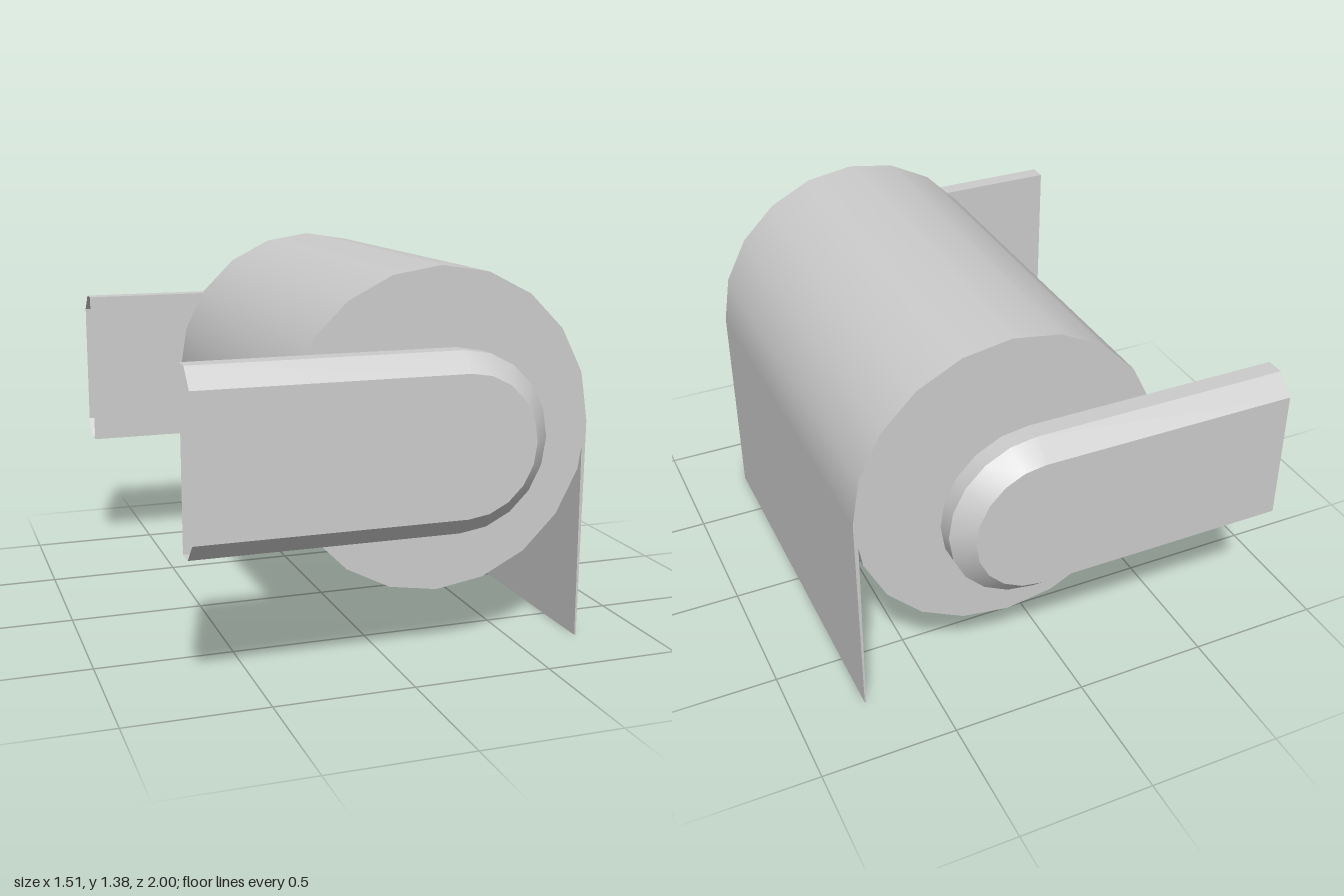
import * as THREE from 'three';
import { mergeGeometries } from 'three/addons/utils/BufferGeometryUtils.js';

const CX = 0.18, CY = 0.813, ROLL_R = 0.572, HALF = 0.743;

const grey = new THREE.MeshStandardMaterial({ color: 0xcccccc });
const greyDouble = new THREE.MeshStandardMaterial({ color: 0xcccccc, side: THREE.DoubleSide });

function add(parent, name, geometry, material = grey) {
  const mesh = new THREE.Mesh(geometry, material);
  mesh.name = name;
  parent.add(mesh);
  return mesh;
}

// Cylinder lying along z, between z0 and z1, with a vertex on the x axis
function rod(r, z0, z1, sides) {
  return new THREE.CylinderGeometry(r, r, z1 - z0, sides)
    .rotateX(Math.PI / 2).translate(0, 0, (z0 + z1) / 2);
}

// U-shaped outline, open at the -x end, running from bottom to top
function outline(r) {
  const end = -0.755 - CX;
  const pts = [new THREE.Vector2(end, -r)];
  for (let i = 0; i <= 10; i++) {
    const a = -Math.PI / 2 + (i / 10) * Math.PI;
    pts.push(new THREE.Vector2(r * Math.cos(a), r * Math.sin(a)));
  }
  pts.push(new THREE.Vector2(end, r));
  return pts;
}

// Wall joining an outline at one depth to an outline at another
function wall(rA, zA, rB, zB) {
  const a = outline(rA), b = outline(rB), n = a.length;
  const pos = [], uv = [], index = [];
  a.forEach((p) => { pos.push(p.x, p.y, zA); uv.push(0, 0); });
  b.forEach((p) => { pos.push(p.x, p.y, zB); uv.push(0, 0); });
  for (let i = 0; i < n - 1; i++) index.push(i, i + 1, n + i, i + 1, n + i + 1, n + i);
  const g = new THREE.BufferGeometry();
  g.setAttribute('position', new THREE.Float32BufferAttribute(pos, 3));
  g.setAttribute('uv', new THREE.Float32BufferAttribute(uv, 2));
  g.setIndex(index);
  g.computeVertexNormals();
  return g;
}

function face(r, z, flip) {
  const g = new THREE.ShapeGeometry(new THREE.Shape(outline(r)));
  if (flip) g.rotateX(Math.PI);
  return g.translate(0, 0, z);
}

// Bevelled arm, hollow and open at its wall end
function armGeometry() {
  return mergeGeometries([
    face(0.245, 1, false),
    wall(0.312, 0.932, 0.245, 1),
    wall(0.312, 0.865, 0.312, 0.932),
    face(0.312, 0.865, true),
  ]);
}

export function createModel() {
  const model = new THREE.Group();
  model.name = 'rollHolder';

  // Everything centred on the roll's axis
  const axis = new THREE.Group();
  axis.name = 'rollAssembly';
  axis.position.set(CX, CY, 0);
  model.add(axis);

  add(axis, 'paperRoll', rod(ROLL_R, -HALF, HALF, 20));

  // One side of the holder, turned over for the other side
  for (const [name, turn] of [['front', 0], ['back', Math.PI]]) {
    const side = new THREE.Group();
    side.name = name + 'Support';
    side.rotation.x = turn;
    axis.add(side);
    add(side, name + 'Arm', armGeometry(), greyDouble);
    add(side, name + 'CoreRing', rod(0.166, 0.72, 0.753, 20));
    // Slightly oval spindle
    add(side, name + 'Spindle', rod(1, 0.72, 0.87, 20).scale(0.155, 0.135, 1).translate(-0.003, 0, 0));
  }

  // Loose sheet hanging from the roll
  const profile = new THREE.Shape([
    [0.74, 0], [0.746, 0], [0.752, CY], [0.737, 0.72],
  ].map(([x, y]) => new THREE.Vector2(x, y)));
  const sheet = new THREE.ExtrudeGeometry(profile, { depth: 2 * HALF, bevelEnabled: false });
  add(model, 'hangingSheet', sheet.translate(0, 0, -HALF), greyDouble);

  return model;
}
